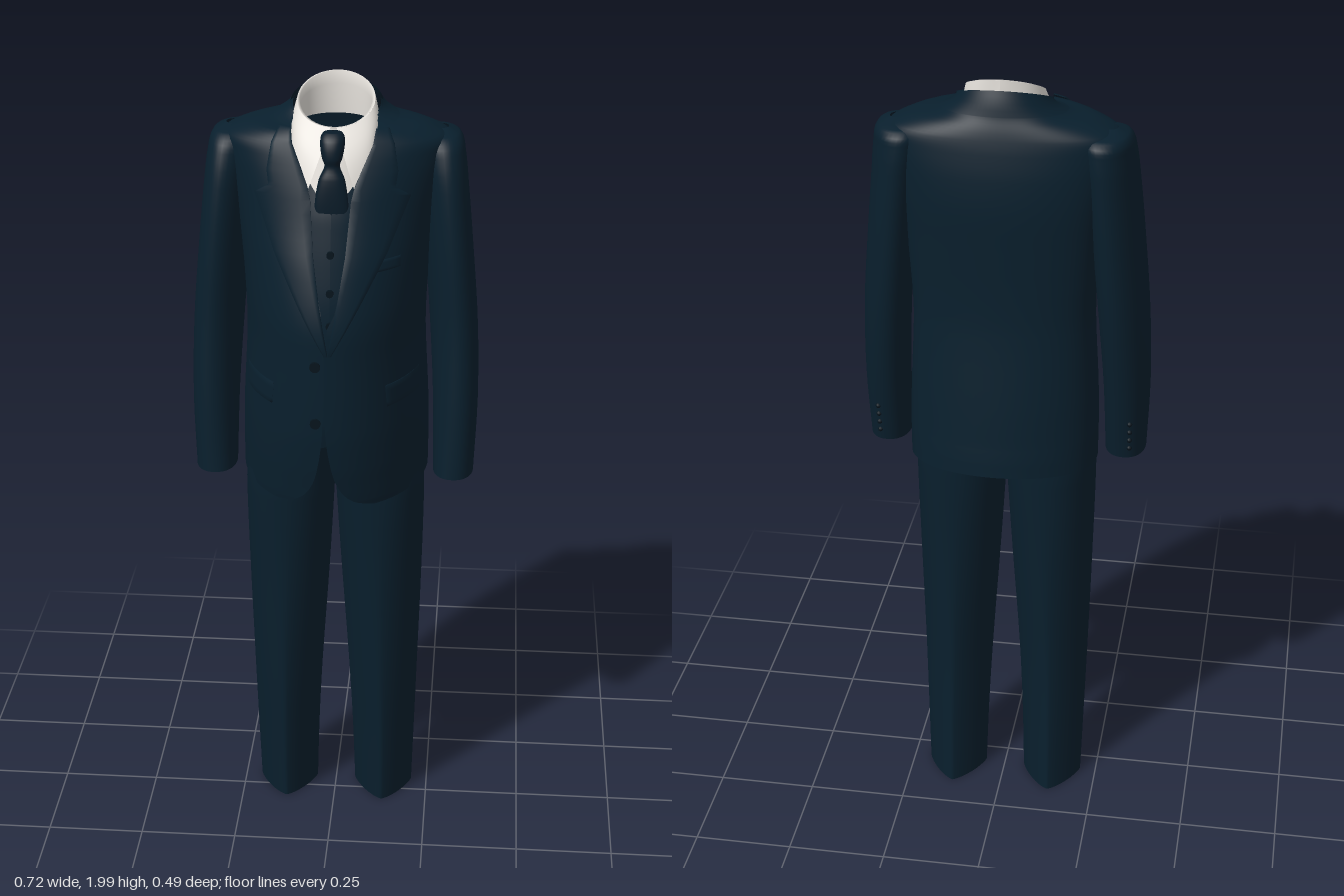
import * as THREE from 'three';

const mat = (name, color) => new THREE.MeshStandardMaterial({ name, color, side: THREE.DoubleSide });

// Smooth interpolation of a table of rows keyed by their first column
function sample(table, y) {
  const n = table.length;
  if (y <= table[0][0]) return table[0].slice(1);
  if (y >= table[n - 1][0]) return table[n - 1].slice(1);
  let i = 0;
  while (y > table[i + 1][0]) i++;
  const slope = (j, k) => {
    const a = table[Math.max(j - 1, 0)], b = table[Math.min(j + 1, n - 1)];
    return (b[k] - a[k]) / (b[0] - a[0]);
  };
  const h = table[i + 1][0] - table[i][0], t = (y - table[i][0]) / h, s = t * t * (3 - 2 * t);
  return table[i].slice(1).map((p, c) => p + (table[i + 1][c + 1] - p) * s
    + h * slope(i, c + 1) * t * (1 - t) ** 2 - h * slope(i + 1, c + 1) * t * t * (1 - t));
}

// Heights of a table with extra rows between its keys
function levels(table, sub) {
  const out = [];
  for (let i = 0; i < table.length - 1; i++)
    for (let j = 0; j < sub; j++) out.push(table[i][0] + (table[i + 1][0] - table[i][0]) * j / sub);
  return [...out, table[table.length - 1][0]];
}

// Surface from f(column, row); wrap joins the last column to the first
function grid(cols, rows, f, wrap = false) {
  const pos = [], idx = [];
  for (let r = 0; r < rows; r++) for (let c = 0; c < cols; c++) pos.push(...f(c, r));
  for (let r = 0; r < rows - 1; r++) for (let c = 0; c < (wrap ? cols : cols - 1); c++) {
    const a = r * cols + c, b = r * cols + (c + 1) % cols;
    idx.push(a, b, a + cols, b, b + cols, a + cols);
  }
  const g = new THREE.BufferGeometry();
  g.setAttribute('position', new THREE.Float32BufferAttribute(pos, 3));
  g.setIndex(idx);
  g.computeVertexNormals();
  return g;
}

// Jacket: y, half width, front z, back z, half opening at the front
const JACKET = [
  [0.98, 0.235, 0.2, -0.238, 0.12], [1.0, 0.235, 0.206, -0.237, 0.07], [1.04, 0.235, 0.214, -0.235, 0.036],
  [1.1, 0.235, 0.225, -0.23, 0.017], [1.2, 0.232, 0.237, -0.22, 0.004], [1.38, 0.222, 0.242, -0.2, 0],
  [1.48, 0.224, 0.24, -0.197, 0.01], [1.6, 0.232, 0.207, -0.2, 0.034], [1.7, 0.245, 0.165, -0.203, 0.045],
  [1.78, 0.26, 0.135, -0.198, 0.052], [1.84, 0.272, 0.11, -0.188, 0.078], [1.872, 0.27, 0.095, -0.18, 0.092],
  [1.895, 0.225, 0.085, -0.172, 0.098], [1.922, 0.15, 0.065, -0.16, 0.102], [1.955, 0.116, 0.045, -0.15, 0.1],
  [1.98, 0.105, 0.03, -0.138, 0.093]];
const SIDE_Z = -0.05;

function jacketPoint(a, y, off = 0) {
  const [w, f, b] = sample(JACKET, y), c = Math.cos(a);
  // The upper back is flatter than the hem and the neck
  const flat = 0.85 - 0.27 * THREE.MathUtils.smoothstep(y, 1.1, 1.6) + 0.35 * THREE.MathUtils.smoothstep(y, 1.87, 1.94);
  const z = c > 0 ? SIDE_Z + (f - SIDE_Z + off) * c ** 1.1 : SIDE_Z - (SIDE_Z - b + off) * Math.abs(c) ** flat;
  const lift = Math.max(0, 1.1 - y) / 0.12 * 0.02 * (1 - c);
  const tilt = Math.max(0, y - 1.9) / 0.08 * 0.038 * (1 + c);
  return [(w + off) * Math.sin(a), y + lift - tilt, z];
}
function frontZ(x, y) {
  const [w, f] = sample(JACKET, y);
  return SIDE_Z + (f - SIDE_Z) * Math.max(0, 1 - (x / w) ** 2) ** 0.55;
}
// Wraps from the left front edge round the back to the right front edge
function jacketWrap(ys, cols, off = 0) {
  return grid(cols, ys.length, (c, r) => {
    const [w, , , open] = sample(JACKET, ys[r]);
    const edge = (x) => Math.asin(THREE.MathUtils.clamp(x / w, -0.98, 0.98));
    const shift = ys[r] < 1.5 ? 0.01 : 0;
    const a = edge(open - shift), b = 2 * Math.PI - edge(open + shift);
    return jacketPoint(a + (b - a) * c / (cols - 1), ys[r], off);
  });
}
// Thin raised panel on the jacket front; rows are y, inner x, outer x
function frontPatch(rows, side, off = 0.006) {
  const ys = levels(rows, 4), us = [0, 0, 0.17, 0.33, 0.5, 0.67, 0.83, 1, 1];
  const all = [ys[0], ...ys, ys[ys.length - 1]];
  return grid(us.length, all.length, (c, r) => {
    const y = all[r], i = Math.max(0, rows.findIndex((q) => q[0] >= y) - 1);
    const [p, q] = [rows[i], rows[i + 1]], t = (y - p[0]) / (q[0] - p[0]);
    const x0 = p[1] + (q[1] - p[1]) * t, x1 = p[2] + (q[2] - p[2]) * t, x = x0 + (x1 - x0) * us[c];
    const rim = c === 0 || c === us.length - 1 || r === 0 || r === all.length - 1;
    return [side * x, y, frontZ(x, y) + (rim ? -0.002 : off)];
  });
}

// Tube of horizontal sections: y, inner x, outer x, back z, front z,
// corner power (1 round, 2 diamond) and forward skew of the outer side
function limb(table, side = 1) {
  const ys = levels(table, 4), n = 40;
  return grid(n, ys.length, (c, r) => {
    const [x0, x1, zb, zf, power, skew] = sample(table, ys[r]), a = c / n * Math.PI * 2;
    const bend = (v) => Math.sign(v) * Math.abs(v) ** power;
    return [side * ((x0 + x1) / 2 + (x1 - x0) / 2 * bend(Math.cos(a))), ys[r],
      (zb + zf) / 2 + (zf - zb) / 2 * bend(Math.sin(a)) + skew * Math.cos(a)];
  }, true);
}
const SLEEVE = [
  [1.01, 0.25, 0.352, -0.07, 0.08, 0.9, 0], [1.2, 0.245, 0.358, -0.108, 0.07, 0.95, 0.01],
  [1.4, 0.232, 0.352, -0.14, 0.056, 1, 0.02], [1.6, 0.215, 0.335, -0.158, 0.052, 1, 0.025],
  [1.75, 0.2, 0.32, -0.165, 0.042, 1, 0.025], [1.83, 0.19, 0.31, -0.165, 0.025, 0.95, 0.02],
  [1.868, 0.19, 0.298, -0.152, 0.0, 0.9, 0.01], [1.884, 0.225, 0.268, -0.09, -0.05, 0.9, 0]];
const LEG = [
  [0.008, 0.052, 0.208, -0.16, 0.052, 1.5, 0], [0.2, 0.046, 0.213, -0.151, 0.067, 1.45, 0],
  [0.4, 0.036, 0.218, -0.146, 0.084, 1.35, 0], [0.7, 0.016, 0.225, -0.155, 0.104, 1.15, 0],
  [0.95, 0.002, 0.228, -0.163, 0.12, 0.95, 0], [1.02, 0, 0.224, -0.163, 0.122, 0.9, 0],
  [1.18, 0, 0.2, -0.15, 0.13, 0.85, 0]];

// Waistcoat: y, centre z, half neck opening
const VEST = [[1.12, 0.16, 0], [1.2, 0.175, 0], [1.4, 0.178, 0], [1.5, 0.174, 0], [1.6, 0.156, 0],
  [1.68, 0.137, 0], [1.72, 0.126, 0], [1.79, 0.1, 0.055], [1.87, 0.07, 0.09]];

export function createModel() {
  const group = new THREE.Group();
  const navy = mat('navyCloth', 0x091f2d), white = mat('whiteShirt', 0xe6e2dc);
  const tieBlue = mat('darkTie', 0x081a27), dark = mat('darkButton', 0x06141d);
  const add = (name, geo, material) => {
    const m = new THREE.Mesh(geo, material);
    m.name = name;
    group.add(m);
    return m;
  };

  // Jacket body and the fold of its collar
  add('jacketBody', jacketWrap(levels(JACKET, 4), 73), navy);
  add('jacketCollar', jacketWrap([1.925, 1.926, 1.94, 1.955, 1.97, 1.98], 49, 0.006), navy);

  for (const side of [1, -1]) {
    const s = side > 0 ? 'left' : 'right';
    add(s + 'Sleeve', limb(SLEEVE, side), navy);
    add(s + 'TrouserLeg', limb(LEG, side), navy);
    // Lapel with its notch, running up into the collar
    add(s + 'Lapel', frontPatch([[1.41, 0, 0.008], [1.53, 0.021, 0.075], [1.64, 0.038, 0.135],
      [1.76, 0.048, 0.185], [1.785, 0.054, 0.15], [1.82, 0.068, 0.155], [1.88, 0.095, 0.145],
      [1.91, 0.1, 0.13]], side), navy);
    add(s + 'PocketFlap', frontPatch([[1.255, 0.14, 0.212], [1.31, 0.135, 0.21]], side), navy);
    // Cuff buttons
    for (let i = 0; i < 4; i++) {
      const b = add(s + 'CuffButton', new THREE.SphereGeometry(0.007, 10, 6), dark);
      const y = 1.04 + i * 0.025, [x0, x1, zb] = sample(SLEEVE, y);
      b.position.set(side * (x0 + x1 + 0.03) / 2, y, zb + 0.004);
    }
  }
  add('breastPocket', frontPatch([[1.6, 0.1, 0.165], [1.625, 0.1, 0.165]], 1, 0.004), navy);

  // Waistcoat halves
  const vestYs = levels(VEST, 4);
  for (const side of [1, -1]) add('waistcoatFront', grid(9, vestYs.length, (c, r) => {
    const [z, open] = sample(VEST, vestYs[r]), x = Math.max(0, open) + (0.16 - Math.max(0, open)) * c / 8;
    const dip = vestYs[r] < 1.2 ? (1.2 - vestYs[r]) * Math.abs(x - 0.04) * 4 : 0;
    return [side * x, vestYs[r] + dip, z - 3.4 * x * x];
  }), navy);

  // Front buttons
  const button = (name, x, y, z, r) => {
    const b = add(name, new THREE.CylinderGeometry(r, r, 0.009, 16), dark);
    b.rotation.x = Math.PI / 2;
    b.position.set(x, y, z);
  };
  for (const y of [1.38, 1.23]) button('jacketButton', -0.03, y, frontZ(0.03, y) + 0.002, 0.013);
  for (const y of [1.63, 1.54, 1.46, 1.18]) button('waistcoatButton', 0, y, sample(VEST, y)[0] + 0.003, 0.009);

  // Shirt front
  add('shirtFront', grid(13, 9, (c, r) => {
    const x = (c / 6 - 1) * 0.1, t = r / 8;
    return [x, 1.64 + 0.255 * t, 0.125 - 0.075 * t - 4 * x * x];
  }), white);

  // Shirt collar: inner stand, then the fold falling to two points
  const ring = (a, k = 1, drop = 0) => [0.093 * k * Math.sin(a), 1.955 - 0.045 * Math.cos(a) - drop,
    -0.037 + 0.087 * k * Math.cos(a)];
  add('shirtCollarStand', grid(48, 5, (c, r) => {
    const a = c / 48 * Math.PI * 2, depth = 0.06 - 0.045 * Math.cos(a);
    return ring(a, [1, 0.93, 0.93, 0.94, 0.96][r], [0, 0, 0.3, 0.65, 1][r] * depth);
  }, true), white);
  const fall = new THREE.CatmullRomCurve3([[0.055, 1.78, 0.122], [0.096, 1.86, 0.055], [0.102, 1.9, -0.04],
    [0.066, 1.93, -0.105], [0, 1.945, -0.128]].map((p) => new THREE.Vector3(...p)));
  for (const side of [1, -1]) add('shirtCollarLeaf', grid(25, 7, (c, r) => {
    const u = c / 24, t = r / 6, top = ring(0.08 + u * (Math.PI - 0.08)), low = fall.getPoint(u);
    const puff = 0.012 * (1 - u) ** 2 * Math.sin(Math.PI * t), a = u * Math.PI;
    return [side * (top[0] + (low.x - top[0]) * t + puff * Math.sin(a)), top[1] + (low.y - top[1]) * t,
      top[2] + (low.z - top[2]) * t + puff * Math.cos(a)];
  }), white);

  // Tie: knot and blade as one tapering tube
  add('tie', limb([[1.66, -0.04, 0.04, 0.105, 0.125, 0.9, 0], [1.74, -0.04, 0.04, 0.1, 0.124, 0.9, 0],
    [1.8, -0.031, 0.031, 0.085, 0.118, 0.9, 0], [1.83, -0.018, 0.018, 0.075, 0.108, 0.9, 0],
    [1.85, -0.024, 0.024, 0.068, 0.112, 0.9, 0], [1.885, -0.029, 0.029, 0.055, 0.104, 0.9, 0],
    [1.905, -0.022, 0.022, 0.052, 0.085, 0.9, 0], [1.908, -0.003, 0.003, 0.062, 0.068, 0.9, 0]]), tieBlue);

  return group;
}
